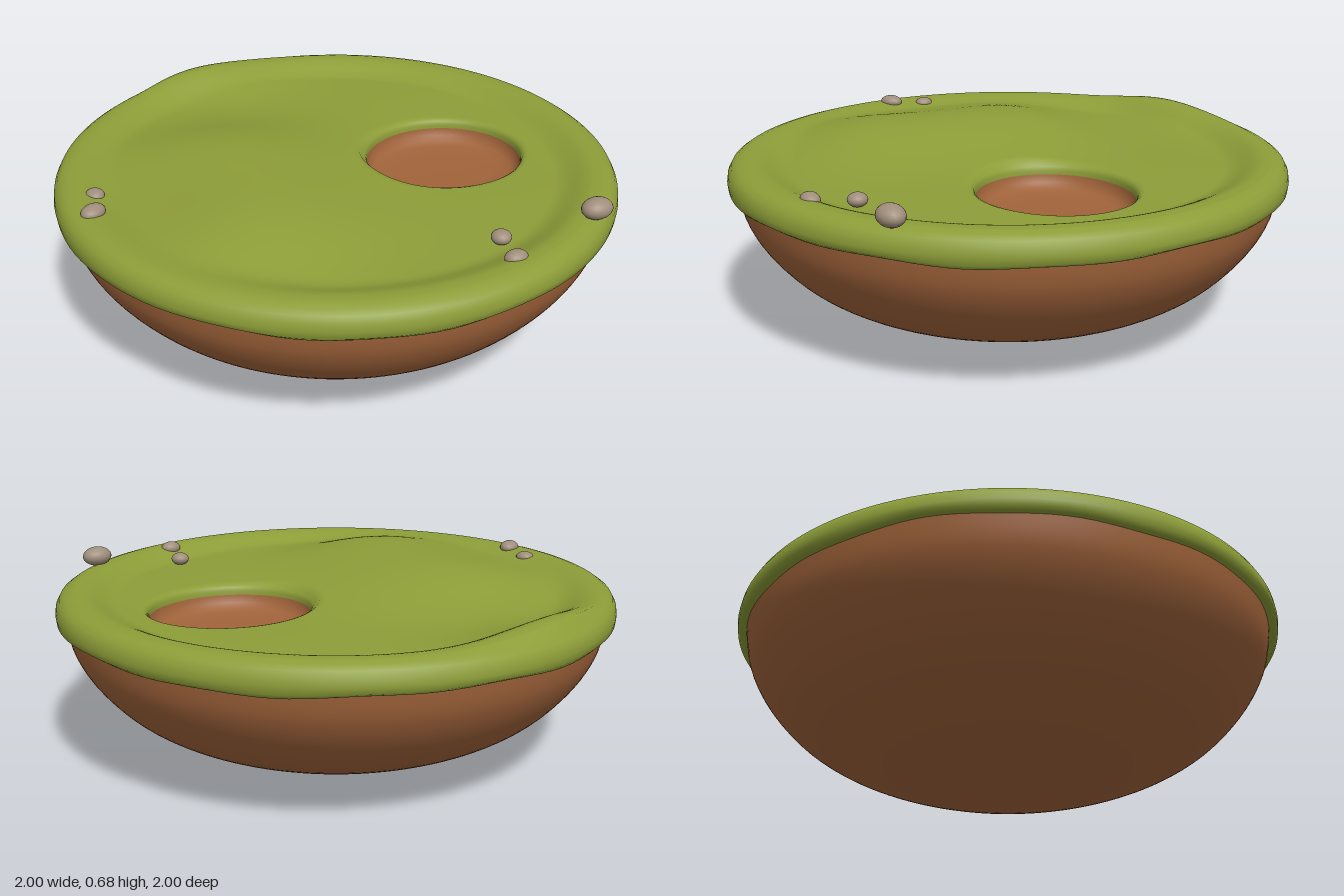
import * as THREE from 'three';

const SEG = 128;
const HOLE = { x: 0.413, z: 0.03, rx: 0.288, rz: 0.264 };

// Smooth surface through closed rings of points, ordered so the faces look outward/up
function loft(rings) {
  const pos = [], idx = [];
  rings.forEach(ring => ring.forEach(p => pos.push(...p)));
  for (let i = 0; i < rings.length - 1; i++) {
    for (let j = 0; j < SEG; j++) {
      const k = (j + 1) % SEG;
      const a = i * SEG + j, b = i * SEG + k, c = a + SEG, d = b + SEG;
      idx.push(a, b, c, b, d, c);
    }
  }
  const g = new THREE.BufferGeometry();
  g.setAttribute('position', new THREE.Float32BufferAttribute(pos, 3));
  g.setIndex(idx);
  g.computeVertexNormals();
  return g;
}

function ring(fn) {
  return Array.from({ length: SEG }, (_, j) => fn((j / SEG) * Math.PI * 2));
}

// Height of the turf: dished centre, raised rim, soft mounds
function turfHeight(x, z) {
  const r = Math.hypot(x, z);
  const rim = THREE.MathUtils.smoothstep(r, 0.78, 0.91);
  const mound = Math.exp(-(((x + 0.38) / 0.37) ** 2) - ((z - 0.1) / 0.52) ** 4);
  const backSwell = Math.exp(-(((x + 0.25) / 0.28) ** 2) - ((z + 0.85) / 0.13) ** 2);
  const ripple = 0.004 * Math.sin(6 * x + 2) * Math.cos(7 * z);
  return 0.57 + 0.042 * rim + (1 - rim) * (0.088 * mound + ripple) + 0.032 * backSwell;
}

// Point on the hole outline, scaled about its centre
function holePoint(a, s) {
  return [HOLE.x + HOLE.rx * s * Math.cos(a), HOLE.z - HOLE.rz * s * Math.sin(a)];
}

function makeTurf() {
  const rings = [];
  // rounded lip of the hole
  for (const [s, y] of [[1, 0.535], [1.003, 0.55], [1.02, 0.562], [1.055, 0.569]]) {
    rings.push(ring(a => {
      const [x, z] = holePoint(a, s);
      return [x, y, z];
    }));
  }
  // field from the lip to the rim
  const N = 44;
  for (let i = 0; i <= N; i++) {
    const t = i / N;
    rings.push(ring(a => {
      const [hx, hz] = holePoint(a, 1.1);
      const x = THREE.MathUtils.lerp(hx, 0.94 * Math.cos(a), t);
      const z = THREE.MathUtils.lerp(hz, -0.94 * Math.sin(a), t);
      return [x, turfHeight(x, z), z];
    }));
  }
  // rolled outer edge with a wavy lower border
  for (const [r, y, w] of [[0.965, 0.605, 0], [0.984, 0.592, 0], [0.996, 0.57, 0], [1, 0.545, 0],
    [0.997, 0.522, 0.5], [0.985, 0.511, 1], [0.962, 0.514, 1]]) {
    rings.push(ring(a => {
      const wave = 0.005 * Math.sin(5 * a + 1) + 0.003 * Math.sin(13 * a);
      return [r * Math.cos(a), y + w * wave, -r * Math.sin(a)];
    }));
  }
  // rings run outward, so flip the winding to face up
  const g = loft(rings.reverse());
  return g;
}

// Shallow soil dish in the hole
function makeDish() {
  const profile = [[1.01, 0.55], [1, 0.53], [0.975, 0.507], [0.92, 0.49], [0.82, 0.48], [0.6, 0.476], [0.3, 0.474], [0.001, 0.474]];
  return loft(profile.map(([s, y]) => ring(a => {
    const [x, z] = holePoint(a, s);
    return [x, y, z];
  })));
}

// Rounded underside of earth
function makeSoil() {
  const curve = new THREE.SplineCurve([[0, 0], [0.2, 0.012], [0.42, 0.048], [0.62, 0.115], [0.77, 0.2],
    [0.88, 0.31], [0.945, 0.42], [0.968, 0.53]].map(p => new THREE.Vector2(...p)));
  const pts = curve.getPoints(40);
  pts[0].set(0, 0);
  return new THREE.LatheGeometry(pts, SEG);
}

export function createModel() {
  const grass = new THREE.MeshStandardMaterial({ color: 0x8d9d38 });
  grass.name = 'grass green';
  const earth = new THREE.MeshStandardMaterial({ color: 0xa0633a });
  earth.name = 'earth brown';
  const rock = new THREE.MeshStandardMaterial({ color: 0xa08e7c });
  rock.name = 'stone grey';

  const model = new THREE.Group();
  model.name = 'turfMound';
  const add = (name, geometry, material) => {
    const mesh = new THREE.Mesh(geometry, material);
    mesh.name = name;
    model.add(mesh);
    return mesh;
  };

  add('soilBase', makeSoil(), earth);
  add('turf', makeTurf(), grass);
  add('holeDish', makeDish(), earth);

  // pebbles: x, y, z, half sizes, turn
  const pebbles = [
    [-0.862, 0.6, -0.03, 0.032, 0.022, 0.036, 0.2],
    [-0.892, 0.612, 0.105, 0.046, 0.026, 0.036, 0.6],
    [0.308, 0.592, 0.688, 0.034, 0.024, 0.034, 0],
    [0.283, 0.605, 0.835, 0.04, 0.026, 0.032, 0.1],
    [0.645, 0.64, 0.705, 0.056, 0.036, 0.044, 0.1],
  ];
  for (const [x, y, z, sx, sy, sz, turn] of pebbles) {
    const stone = add('pebble', new THREE.SphereGeometry(1, 20, 14), rock);
    stone.position.set(x, y, z);
    stone.scale.set(sx, sy, sz);
    stone.rotation.y = turn;
  }
  return model;
}
